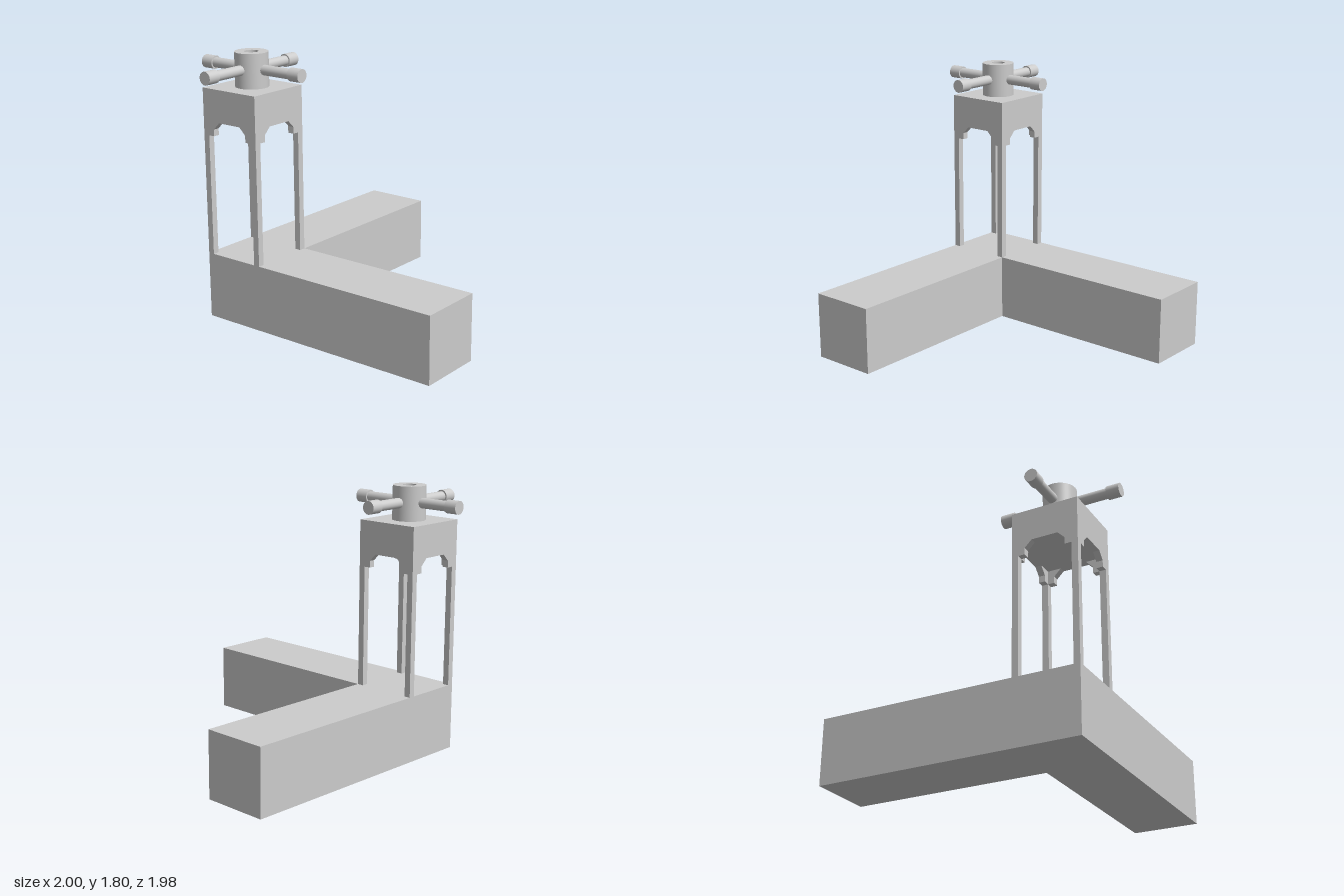
import * as THREE from 'three';

const material = new THREE.MeshStandardMaterial({ color: 0xcccccc });

function add(parent, name, geometry, x = 0, y = 0, z = 0) {
  const mesh = new THREE.Mesh(geometry, material);
  mesh.name = name;
  mesh.position.set(x, y, z);
  parent.add(mesh);
  return mesh;
}

function polygon(points) {
  return new THREE.Shape(points.map(([x, y]) => new THREE.Vector2(x, y)));
}

export function createModel() {
  const model = new THREE.Group();
  model.name = 'cornerTower';
  const W = 0.449, H = W / 2, T = 0.043;
  const cx = -0.576, cz = -0.584;
  const baseTop = 0.449, archTop = 1.355, towerTop = 1.572, hubTop = 1.8;

  // L-shaped base, drawn in plan and extruded upward
  const x0 = cx - H, x1 = cx + H, z0 = cz - H, z1 = cz + H;
  const plan = polygon([[x0, -z0], [x0, -0.989], [x1, -0.989], [x1, -z1], [1, -z1], [1, -z0]]);
  const base = new THREE.ExtrudeGeometry(plan, { depth: baseTop, bevelEnabled: false });
  base.rotateX(-Math.PI / 2);
  add(model, 'base', base);

  // Tower on four legs
  const tower = new THREE.Group();
  tower.name = 'tower';
  tower.position.set(cx, 0, cz);
  model.add(tower);
  const inner = H - T;
  for (const sx of [-1, 1]) for (const sz of [-1, 1]) {
    add(tower, 'leg', new THREE.BoxGeometry(T, towerTop - baseTop, T),
      sx * (H - T / 2), (towerTop + baseTop) / 2, sz * (H - T / 2));
  }

  // Stepped, chamfered arch between each pair of legs
  const half = [[inner, towerTop], [inner, 1.262], [0.137, 1.262], [0.137, 1.307], [0.089, archTop]];
  const arch = polygon([...half, ...half.map(([x, y]) => [-x, y]).reverse()]);
  const archGeometry = new THREE.ExtrudeGeometry(arch, { depth: T, bevelEnabled: false });
  archGeometry.translate(0, 0, inner);
  for (let i = 0; i < 4; i++) {
    add(tower, 'archPanel', archGeometry).rotation.y = i * Math.PI / 2;
  }
  add(tower, 'towerCap', new THREE.BoxGeometry(inner * 2, towerTop - archTop, inner * 2),
    0, (towerTop + archTop) / 2, 0);

  // Hollow hub: outer wall, rim and bore as separate strips for sharp edges
  const hub = new THREE.Group();
  hub.name = 'hub';
  tower.add(hub);
  const R = 0.11, r = 0.045;
  const strips = [
    ['hubWall', [R, towerTop], [R, hubTop]],
    ['hubRim', [R, hubTop], [r, hubTop]],
    ['hubBore', [r, hubTop], [r, towerTop]],
  ];
  for (const [name, a, b] of strips) {
    add(hub, name, new THREE.LatheGeometry([new THREE.Vector2(...a), new THREE.Vector2(...b)], 48));
  }

  // Four spokes with end grips: right, front, left, back
  const reaches = [[0.406, 0], [0.424, -Math.PI / 2], [0.424, Math.PI], [0.406, Math.PI / 2]];
  const gripLength = 0.088;
  for (const [reach, angle] of reaches) {
    const spoke = new THREE.Group();
    spoke.name = 'spoke';
    spoke.position.y = 1.69;
    spoke.rotation.y = angle;
    tower.add(spoke);
    const barLength = reach - gripLength / 2;
    add(spoke, 'bar', new THREE.CylinderGeometry(0.034, 0.034, barLength, 32).rotateZ(-Math.PI / 2),
      barLength / 2);
    add(spoke, 'grip', new THREE.CylinderGeometry(0.044, 0.044, gripLength, 32).rotateZ(-Math.PI / 2),
      reach - gripLength / 2);
  }

  return model;
}
